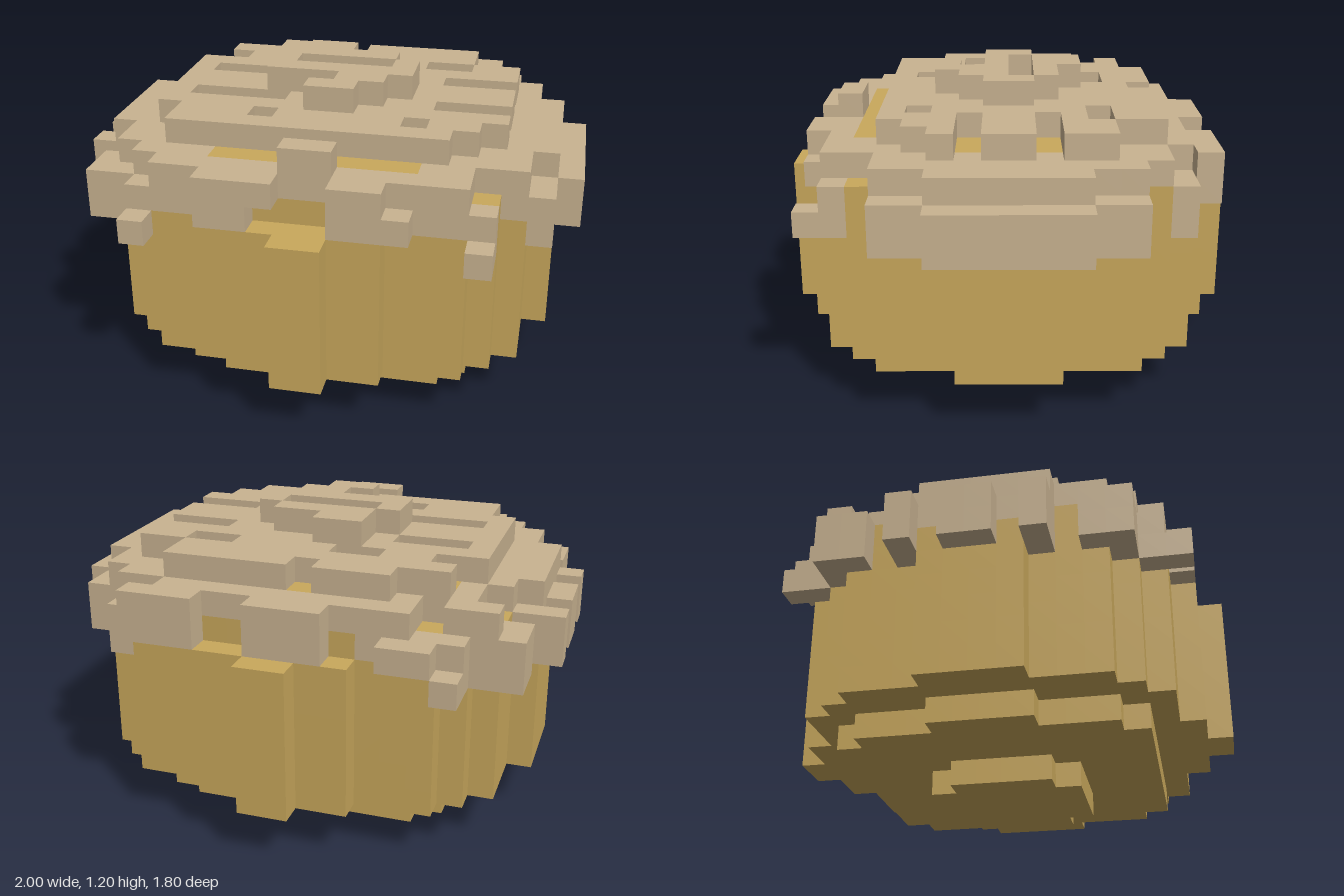
import * as THREE from 'three';

const U = 0.1; // block size
const crust = new THREE.MeshStandardMaterial({ color: 0xc9a85c });
crust.name = 'golden crust';
const topping = new THREE.MeshStandardMaterial({ color: 0xc9b391 });
topping.name = 'beige topping';

const blocks = new Map();
const key = (x, y, z) => `${x},${y},${z}`;

// fills blocks from x0 to x1 in one row, keeping whatever is already there
function fill(part, y, z, x0, x1) {
  for (let x = x0; x < x1; x++) {
    if (!blocks.has(key(x, y, z))) blocks.set(key(x, y, z), { part, x, y, z });
  }
}

// round layer: half widths per row, counted outwards from the middle
function disc(part, y, halfWidths) {
  halfWidths.forEach((w, i) => {
    fill(part, y, i, -w, w);
    fill(part, y, -1 - i, -w, w);
  });
}

// layer given as [row, x0, x1, x0, x1...]
function layer(part, y, rows) {
  for (const [z, ...spans] of rows) {
    for (let i = 0; i < spans.length; i += 2) fill(part, y, z, spans[i], spans[i + 1]);
  }
}

// surface of one part: only faces with no neighbouring block
function surface(part) {
  const pos = [], nor = [];
  for (const b of blocks.values()) {
    if (b.part !== part) continue;
    for (let axis = 0; axis < 3; axis++) {
      for (const s of [-1, 1]) {
        const n = [0, 0, 0];
        n[axis] = s;
        if (blocks.has(key(b.x + n[0], b.y + n[1], b.z + n[2]))) continue;
        const corner = (u, v) => {
          const c = [b.x, b.y, b.z];
          c[axis] += s > 0 ? 1 : 0;
          c[(axis + 1) % 3] += u;
          c[(axis + 2) % 3] += v;
          return c.map((k) => k * U);
        };
        const q = [corner(0, 0), corner(1, 0), corner(1, 1), corner(0, 1)];
        if (s < 0) q.reverse();
        for (const i of [0, 1, 2, 0, 2, 3]) {
          pos.push(...q[i]);
          nor.push(...n);
        }
      }
    }
  }
  const g = new THREE.BufferGeometry();
  g.setAttribute('position', new THREE.Float32BufferAttribute(pos, 3));
  g.setAttribute('normal', new THREE.Float32BufferAttribute(nor, 3));
  return g;
}

export function createModel() {
  blocks.clear();

  // crust: stepped foot, fluted wall, low dome under the topping
  disc('crust', 0, [3, 3, 2]);
  disc('crust', 1, [7, 7, 6, 6, 6, 5]);
  for (let y = 2; y < 8; y++) disc('crust', y, [9, 9, 8, 8, 8, 7, 6, 3, 1]);
  disc('crust', 8, [8, 8, 8, 8, 7, 7, 3]);
  disc('crust', 9, [6, 6, 6, 6, 5, 4]);

  // topping rim, with drips one block lower wherever it overhangs the wall
  const rim = [
    [-8, -6, -4, -2, 1, 3, 6], [-7, -7, 7], [-6, -9, 7], [-5, -9, 9], [-4, -7, 9],
    [-3, -10, 10], [-2, -9, 10], [-1, -10, 10], [0, -10, 10], [1, -9, 10], [2, -10, 10],
    [3, -8, 9], [4, -9, 9], [5, -9, 7], [6, -7, 7], [7, -4, -2, 1, 4],
  ];
  layer('topping', 8, rim);
  layer('topping', 7, rim.slice(1, -1));
  layer('topping', 7, [[7, -7, -6, 6, 7], [-8, -7, -6]]);

  // upper topping layers
  layer('topping', 9, [
    [-8, -2, 1, 3, 6], [-7, -5, 5], [-6, -8, 7], [-5, -7, 8], [-4, -7, 8], [-3, -8, 9],
    [-2, -9, 9], [-1, -9, 9], [0, -9, 9], [1, -9, 9], [2, -9, 9],
    [3, -8, 8], [4, -8, 8], [5, -7, 6], [6, -6, 6], [7, -4, -1, 1, 3],
  ]);
  layer('topping', 10, [
    [-6, -4, 5], [-5, -6, 5], [-4, -5, 3, 5, 7], [-3, -7, 7], [-2, -7, -6, -3, 4],
    [-1, -7, 7], [0, -7, 7], [1, -7, -6, -2, 4], [2, -7, 7], [3, -6, 6], [4, -6, 5], [6, -1, 1],
  ]);
  layer('topping', 11, [
    [-3, -2, 0], [-2, -2, 2], [-1, -3, -2, 2, 3], [0, -3, 3], [1, 0, 2], [2, -1, 1],
  ]);

  // gaps in the topping that let the crust show
  const gaps = [[-6, -6], [-1, -6], [-8, -4], [-3, -4], [-2, -4], [4, -4], [-3, 3], [3, 3], [1, 5], [6, 5]];
  for (const [x, z] of gaps) {
    for (let y = 7; y < 12; y++) {
      const b = blocks.get(key(x, y, z));
      if (b && b.part === 'topping') blocks.delete(key(x, y, z));
    }
  }

  const group = new THREE.Group();
  group.name = 'blockPie';
  for (const [part, material] of [['crust', crust], ['topping', topping]]) {
    const mesh = new THREE.Mesh(surface(part), material);
    mesh.name = part;
    group.add(mesh);
  }
  return group;
}
